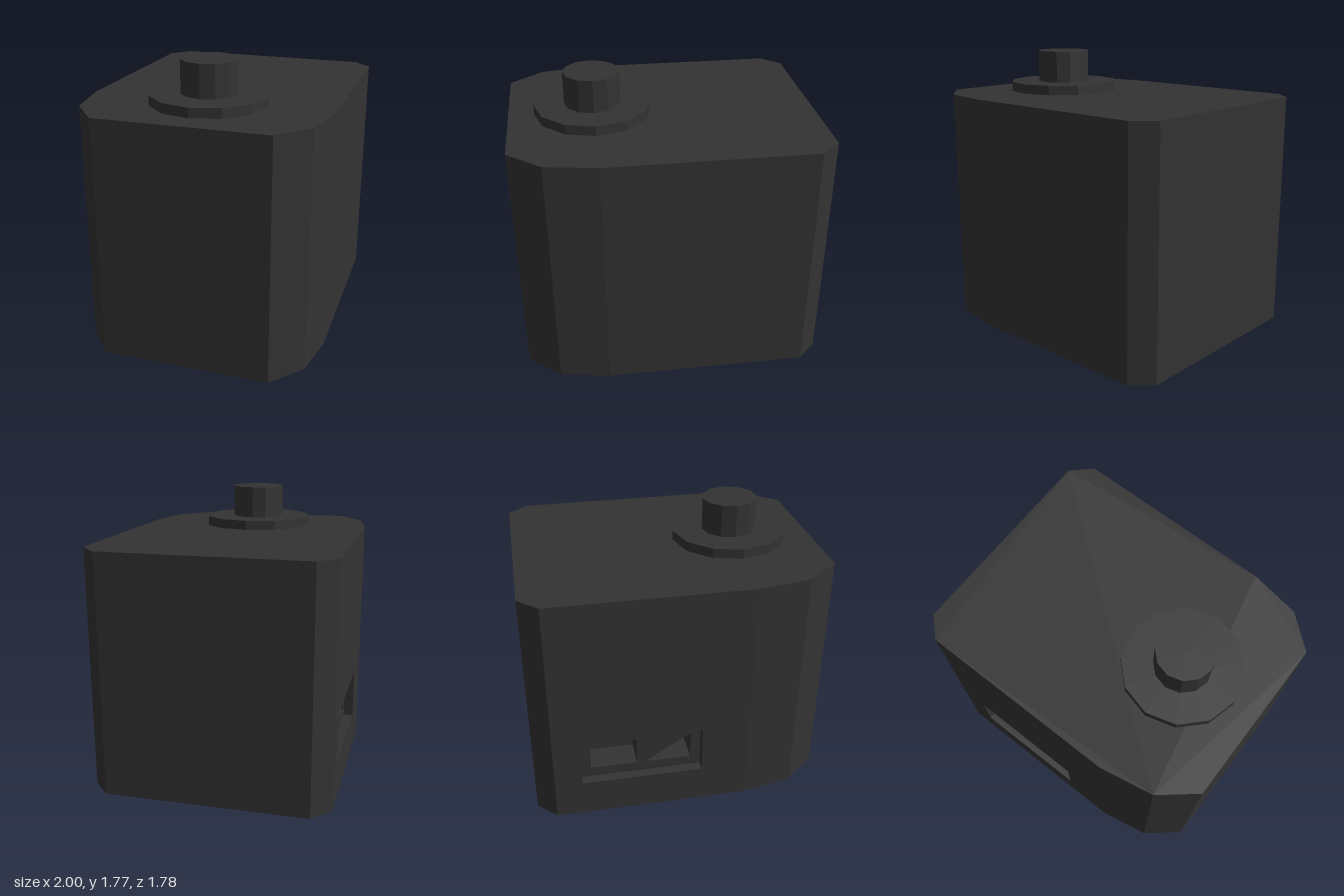
import * as THREE from 'three';

const material = new THREE.MeshStandardMaterial({ color: 0x333333, flatShading: true });
const BOTTOM = 0.16, TOP = 1.535;

const vectors = (list) => list.map(([x, y]) => new THREE.Vector2(x, y));
const rectangle = (x0, y0, x1, y1) => [[x0, y0], [x1, y0], [x1, y1], [x0, y1]];

function add(parent, name, geometry) {
  const mesh = new THREE.Mesh(geometry, material);
  mesh.name = name;
  parent.add(mesh);
  return mesh;
}

// Flat face in the xy plane, with optional holes
function face(points, holes = []) {
  const shape = new THREE.Shape(vectors(points));
  shape.holes = holes.map((h) => new THREE.Path(vectors(h)));
  return new THREE.ShapeGeometry(shape);
}

// Ring of walls along an outline, from z0 to z1; they face out for a
// counter-clockwise outline and in for a clockwise one
function walls(points, z0, z1, skip = -1) {
  const pos = [];
  points.forEach((a, i) => {
    if (i === skip) return;
    const b = points[(i + 1) % points.length];
    pos.push(...a, z0, ...b, z0, ...b, z1, ...a, z0, ...b, z1, ...a, z1);
  });
  const geometry = new THREE.BufferGeometry();
  geometry.setAttribute('position', new THREE.Float32BufferAttribute(pos, 3));
  geometry.computeVertexNormals();
  return geometry;
}

const inside = (points, z0, z1) => walls([...points].reverse(), z0, z1);

export function createModel() {
  const model = new THREE.Group();
  model.name = 'pivotBlock';

  // Body plan as [x, z]; the first edge is the back with the recess
  const plan = [
    [0.39, -0.89], [-0.64, -0.44], [-0.89, -0.27], [-1, -0.05], [-0.61, 0.82],
    [-0.38, 0.89], [-0.1, 0.82], [0.94, 0.36], [1, 0.22], [0.53, -0.84],
  ];
  const flipped = plan.map(([x, z]) => [x, -z]);
  add(model, 'bodySides', walls(flipped, BOTTOM, TOP, 0).rotateX(-Math.PI / 2));
  add(model, 'bodyTop', face(flipped).rotateX(-Math.PI / 2).translate(0, TOP, 0));
  add(model, 'bodyBottom', face(plan).rotateX(Math.PI / 2).translate(0, BOTTOM, 0));

  // Back panel: x runs along the wall, y up, z outward
  const [[ax, az], [bx, bz]] = plan;
  const back = new THREE.Group();
  back.name = 'backPanel';
  back.position.set(ax, BOTTOM, az);
  back.rotation.y = Math.atan2(az - bz, bx - ax);
  model.add(back);

  const recess = rectangle(0.157, 0.22, 0.851, 0.51);
  const sockets = [
    rectangle(0.214, 0.28, 0.48, 0.448),
    [[0.527, 0.28], [0.793, 0.28], [0.793, 0.448]],
  ];
  const shallow = -0.055, deep = -0.22;
  const length = Math.hypot(bx - ax, bz - az);
  add(back, 'backWall', face(rectangle(0, 0, length, TOP - BOTTOM), [recess]));
  add(back, 'recessRim', inside(recess, shallow, 0));
  add(back, 'recessFloor', face(recess, sockets).translate(0, 0, shallow));
  sockets.forEach((socket) => {
    add(back, 'socketSides', inside(socket, deep, shallow));
    add(back, 'socketFloor', face(socket).translate(0, 0, deep));
  });

  // Axle stubs and collars above and below the body
  const axle = new THREE.Group();
  axle.name = 'axle';
  axle.position.set(-0.375, 0, 0.193);
  axle.rotation.y = -0.1;
  model.add(axle);
  const disc = (name, radius, y0, y1) =>
    add(axle, name, new THREE.CylinderGeometry(radius, radius, y1 - y0, 12).translate(0, (y0 + y1) / 2, 0));
  disc('lowerStub', 0.157, 0, 0.15);
  disc('lowerCollar', 0.328, 0.107, BOTTOM);
  disc('upperCollar', 0.328, TOP, 1.59);
  disc('upperStub', 0.157, 1.55, 1.775);

  return model;
}
